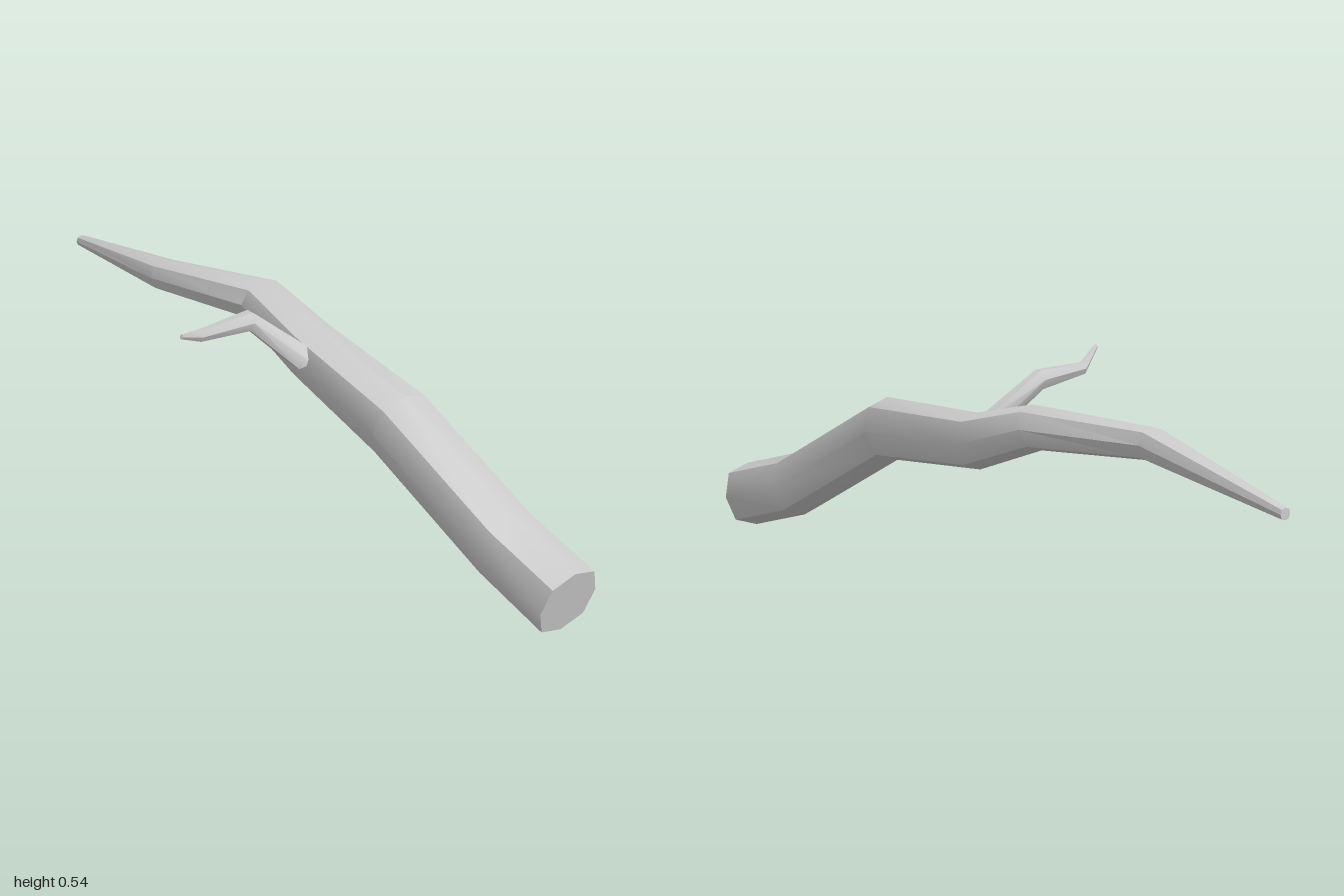
import * as THREE from 'three';
import { toCreasedNormals } from 'three/addons/utils/BufferGeometryUtils.js';

// Closed loft through rings { c: centre, u, v: half axes }, each sampled on a unit section.
function loft(rings, section) {
  const n = section.length, pos = [], idx = [];
  for (const { c, u, v } of rings) {
    for (const [a, b] of section) {
      for (let k = 0; k < 3; k++) pos.push(c[k] + u[k] * a + v[k] * b);
    }
  }
  for (let r = 0; r < rings.length - 1; r++) {
    for (let i = 0; i < n; i++) {
      const a = r * n + i, b = r * n + (i + 1) % n;
      idx.push(a, a + n, b, b, a + n, b + n);
    }
  }
  // End caps
  const last = (rings.length - 1) * n;
  for (let i = 1; i < n - 1; i++) {
    idx.push(0, i, i + 1, last, last + i + 1, last + i);
  }
  const g = new THREE.BufferGeometry();
  g.setAttribute('position', new THREE.Float32BufferAttribute(pos, 3));
  g.setIndex(idx);
  return toCreasedNormals(g, THREE.MathUtils.degToRad(40));
}

export function createModel() {
  const group = new THREE.Group();
  group.name = 'branch';
  const material = new THREE.MeshStandardMaterial({ color: 0xcccccc });
  const add = (name, geometry) => {
    const mesh = new THREE.Mesh(geometry, material);
    mesh.name = name;
    group.add(mesh);
  };

  // Main limb: slightly squared octagon; rows are x, y, z, half width, half height, z lean
  const d = 0.755;
  const octagon = [[1, 0], [d, d], [0, 1], [-d, d], [-1, 0], [-d, -d], [0, -1], [d, -d]];
  const limb = [
    [0.134, 0.085, 0.982, 0.09, 0.083, 0.018],
    [0.142, 0.14, 0.762, 0.089, 0.081, 0.018],
    [0.117, 0.325, 0.412, 0.088, 0.08, 0.018],
    [0.188, 0.345, 0.005, 0.074, 0.07, 0.005],
    [0.2, 0.404, -0.215, 0.062, 0.054, 0.015],
    [0.122, 0.39, -0.515, 0.043, 0.04, -0.005],
    [0.203, 0.298, -1, 0.016, 0.014, 0],
  ].map(([x, y, z, w, h, lean]) => ({ c: [x, y, z], u: [w, 0, 0], v: [0, h, lean] }));
  add('mainLimb', loft(limb, octagon));

  // Side twig: six-sided; rows are x, y, z, half depth, then upward half axis x, y
  const hexagon = Array.from({ length: 6 }, (_, i) => {
    const t = i * Math.PI / 3;
    return [Math.cos(t), Math.sin(t) / Math.sin(Math.PI / 3)];
  });
  const twig = [
    [0.118, 0.362, 0.062, 0.03, 0.032, 0.012],
    [-0.005, 0.481, -0.008, 0.022, 0.003, 0.024],
    [-0.167, 0.494, 0.003, 0.014, 0.003, 0.014],
    [-0.263, 0.538, 0.051, 0.005, 0.002, 0.005],
  ].map(([x, y, z, w, vx, vy]) => ({ c: [x, y, z], u: [0, 0, -w], v: [vx, vy, 0] }));
  add('sideTwig', loft(twig, hexagon));

  return group;
}
